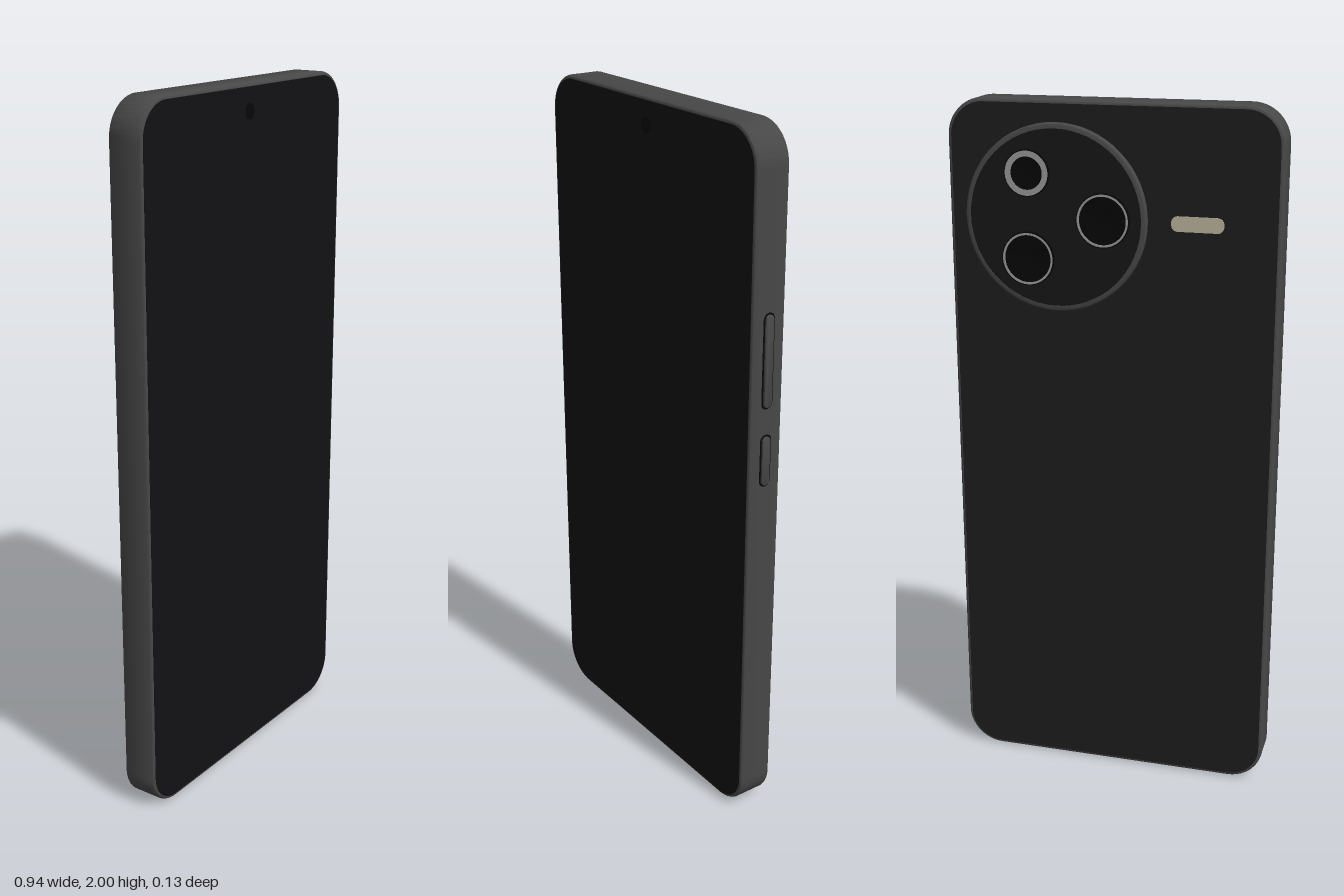
import * as THREE from 'three';
import { toCreasedNormals } from 'three/addons/utils/BufferGeometryUtils.js';

const CX = -0.0035, FRONT = 0.063, BACK = -0.04, MIDZ = 0.012;
const mat = (color) => new THREE.MeshStandardMaterial({ color, side: THREE.DoubleSide });
const mats = {
  frame: mat(0x484848), back: mat(0x1d1d1d), screen: mat(0x121214), black: mat(0x060606),
  plate: mat(0x161617), silver: mat(0x9a9a9a), flash: mat(0xbdb59c),
};

// Rounded rectangle centred on the origin
function roundedRect(w, h, r) {
  const s = new THREE.Shape(), x = w / 2 - r, y = h / 2 - r;
  s.absarc(x, y, r, 0, Math.PI / 2);
  s.absarc(-x, y, r, Math.PI / 2, Math.PI);
  s.absarc(-x, -y, r, Math.PI, Math.PI * 1.5);
  s.absarc(x, -y, r, Math.PI * 1.5, Math.PI * 2);
  s.closePath();
  return s;
}

// Slab of rounded outline with eased edges, centred in depth
function slab(w, h, r, depth, bevel) {
  const g = new THREE.ExtrudeGeometry(roundedRect(w, h, r), {
    depth: depth - 2 * bevel, bevelEnabled: bevel > 0, bevelThickness: bevel,
    bevelSize: bevel, bevelOffset: -bevel, bevelSegments: 4, curveSegments: 14,
  });
  g.translate(0, 0, bevel - depth / 2);
  return toCreasedNormals(g, 0.6);
}

// Turned part whose axis points out of the back; points are [radius, height]
function turned(points) {
  const g = new THREE.LatheGeometry(points.map(([r, h]) => new THREE.Vector2(r, h)), 64);
  g.rotateX(-Math.PI / 2);
  return toCreasedNormals(g, 0.5);
}

export function createModel() {
  const root = new THREE.Group();
  root.name = 'smartphone';
  const add = (name, geometry, material, x, y, z, parent = root) => {
    const m = new THREE.Mesh(geometry, material);
    m.name = name;
    m.position.set(x, y, z);
    parent.add(m);
    return m;
  };

  // Body, glass and back cover
  add('frame', slab(0.933, 1.999, 0.105, FRONT - BACK, 0.01), mats.frame, CX, 1.0005, (FRONT + BACK) / 2);
  add('screen', slab(0.912, 1.978, 0.094, 0.004, 0), mats.screen, CX, 1.0005, FRONT - 0.0012);
  add('backCover', slab(0.912, 1.978, 0.094, 0.004, 0), mats.back, CX, 1.0005, BACK + 0.0012);
  add('frontCamera', new THREE.CircleGeometry(0.022, 32), mats.black, CX, 1.925, FRONT + 0.0014);

  // Side buttons, each in a dark surround
  for (const [name, low, high] of [['volumeButton', 1.267, 1.53], ['powerButton', 1.045, 1.195]]) {
    const h = high - low, y = (low + high) / 2;
    const surround = slab(0.036, h, 0.018, 0.004, 0).rotateY(Math.PI / 2);
    const key = slab(0.026, h - 0.01, 0.013, 0.012, 0.003).rotateY(Math.PI / 2);
    add(name + 'Surround', surround, mats.black, 0.4615, y, MIDZ);
    add(name, key, mats.frame, 0.4635, y, MIDZ);
  }

  // Round camera island
  const camera = new THREE.Group();
  camera.name = 'cameraIsland';
  camera.position.set(0.153, 1.683, BACK);
  root.add(camera);
  add('cameraRim', turned([[0.258, -0.002], [0.258, 0.012], [0.255, 0.016], [0.25, 0.018], [0.243, 0.018], [0.243, 0.014]]),
    mats.frame, 0, 0, 0, camera);
  add('cameraPlate', turned([[0.244, 0.01], [0.244, 0.0172], [0, 0.0172]]), mats.plate, 0, 0, 0, camera);

  // Three lenses: position, outer radius, width of the bright ring
  for (const [x, y, r, ring] of [[0.077, 0.122, 0.064, 0.016], [0.077, -0.113, 0.075, 0.006], [-0.137, 0.002, 0.075, 0.006]]) {
    const lens = new THREE.Group();
    lens.name = 'lens';
    lens.position.set(x, y, 0);
    camera.add(lens);
    const inner = r - 0.003 - ring;
    add('lensBarrel', turned([[r, 0.015], [r, 0.026], [r - 0.003, 0.027]]), mats.black, 0, 0, 0, lens);
    add('lensRing', turned([[r - 0.003, 0.027], [inner, 0.027], [inner, 0.022]]), mats.silver, 0, 0, 0, lens);
    add('lensGlass', turned([[inner, 0.0245], [0.036, 0.0245], [0.034, 0.0235], [0, 0.0235]]), mats.black, 0, 0, 0, lens);
  }

  // Flash bar
  add('flash', slab(0.145, 0.042, 0.018, 0.006, 0), mats.flash, -0.242, 1.683, BACK + 0.001);

  // Charging port and speaker holes underneath
  add('chargingPort', slab(0.12, 0.04, 0.02, 0.004, 0).rotateX(Math.PI / 2), mats.black, CX, 0.002, MIDZ);
  const hole = new THREE.CylinderGeometry(0.009, 0.009, 0.004, 20);
  for (const side of [-1, 1]) {
    for (let i = 0; i < 5; i++) {
      add('speakerHole', hole, mats.black, CX + side * (0.115 + i * 0.028), 0.002, MIDZ);
    }
  }
  return root;
}
